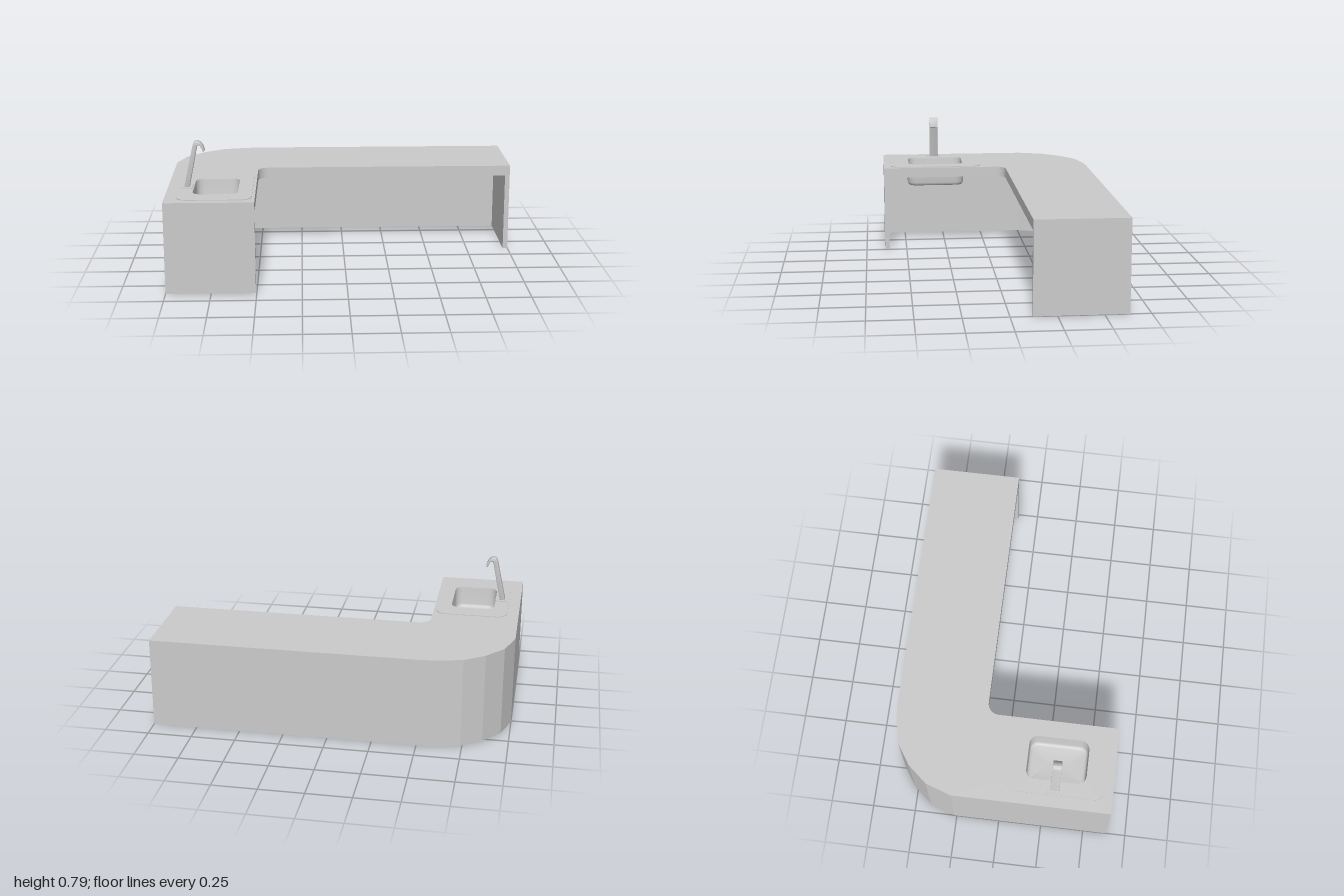
import * as THREE from 'three';
import { toCreasedNormals } from 'three/addons/utils/BufferGeometryUtils.js';

const TOP = 0.518; // worktop surface
const UNDER = 0.49; // underside of the worktop sheet
const RIM = 0.522; // top of the sink rim
const material = new THREE.MeshStandardMaterial({ color: 0xcccccc });

const toVectors = (list) => list.map(([a, b]) => new THREE.Vector2(a, b));

function part(name, geometry) {
  const mesh = new THREE.Mesh(geometry, material);
  mesh.name = name;
  return mesh;
}

// Extrude a floor plan given in (x, z) between two heights.
function slab(name, outline, bottom, top, hole) {
  const shape = new THREE.Shape(outline);
  if (hole) shape.holes.push(new THREE.Path(hole));
  const geometry = new THREE.ExtrudeGeometry(shape, { depth: top - bottom, bevelEnabled: false });
  geometry.rotateX(Math.PI / 2).translate(0, top, 0);
  return part(name, toCreasedNormals(geometry, 0.21));
}

// Rounded rectangle in (x, z) with an equal number of points per corner.
function roundedRect(cx, cz, width, depth, radius, steps = 8) {
  const points = [];
  for (let corner = 0; corner < 4; corner++) {
    const sx = corner === 0 || corner === 3 ? 1 : -1;
    const sz = corner < 2 ? 1 : -1;
    for (let i = 0; i <= steps; i++) {
      const a = (corner + i / steps) * Math.PI / 2;
      points.push(new THREE.Vector2(
        cx + sx * (width / 2 - radius) + radius * Math.cos(a),
        cz + sz * (depth / 2 - radius) + radius * Math.sin(a)));
    }
  }
  return points;
}

// Rounded inside corner of the L plan, from the short wing to the long one.
function insideCorner(radius) {
  const points = [];
  for (let i = 0; i <= 8; i++) {
    const a = Math.PI + (i / 8) * Math.PI / 2;
    points.push([-0.44 + radius * Math.cos(a), -0.055 + radius * Math.sin(a)]);
  }
  return points;
}

// Bowl shell lofted from the inner floor, over the lip, to the outer floor.
function bowlGeometry(cx, cz, width, depth) {
  const profile = [[0.1249, 0.393], [0.024, 0.393], [0.013, 0.396], [0.006, 0.403], [0.003, 0.414],
    [0.002, 0.51], [0, RIM], [-0.006, RIM - 0.002], [-0.006, 0.405], [-0.003, 0.394],
    [0.004, 0.387], [0.015, 0.385], [0.1249, 0.385]];
  const positions = [];
  const indices = [];
  profile.forEach(([inset, y], r) => {
    const ring = roundedRect(cx, cz, width - 2 * inset, depth - 2 * inset, Math.max(0.05 - inset, 0.0001));
    const count = ring.length;
    ring.forEach((p) => positions.push(p.x, y, p.y));
    if (r === 0) return;
    for (let i = 0; i < count; i++) {
      const j = (i + 1) % count;
      const a = (r - 1) * count + i, b = (r - 1) * count + j;
      const c = r * count + i, d = r * count + j;
      indices.push(a, b, c, b, d, c);
    }
  });
  const geometry = new THREE.BufferGeometry();
  geometry.setAttribute('position', new THREE.Float32BufferAttribute(positions, 3));
  geometry.setIndex(indices);
  return toCreasedNormals(geometry, 0.9);
}

export function createModel() {
  const model = new THREE.Group();
  model.name = 'cornerCounter';

  // Faceted outer bend shared by the worktop and the walls
  const bend = [[-0.51, -0.635], [-0.6, -0.628], [-0.74, -0.597], [-0.855, -0.52], [-0.95, -0.41], [-1, -0.262]];
  const innerBend = [[-0.95, -0.252], [-0.904, -0.384], [-0.82, -0.48], [-0.718, -0.55], [-0.593, -0.578], [-0.51, -0.585]];

  // Thin worktop with a cut-out for the sink
  const sinkX = -0.727, sinkZ = 0.308;
  const worktop = [[1, -0.12], [1, -0.635], ...bend, [-1, 0.635], [-0.505, 0.635], ...insideCorner(0.065)];
  model.add(slab('worktop', toVectors(worktop), UNDER, TOP, roundedRect(sinkX, sinkZ, 0.27, 0.36, 0.06)));

  // Back wall, bend and both end panels
  const walls = [[1, -0.12], [1, -0.635], ...bend, [-1, 0.635], [-0.505, 0.635], [-0.505, 0.607],
    [-0.95, 0.607], ...innerBend, [0.972, -0.585], [0.972, -0.12]];
  model.add(slab('walls', toVectors(walls), 0, UNDER));

  // Apron hanging below the inner edge of the worktop
  const apron = [[-0.505, 0.607], ...insideCorner(0.065), [0.972, -0.12], [0.972, -0.147],
    ...insideCorner(0.092).reverse(), [-0.532, 0.607]];
  model.add(slab('apron', toVectors(apron), 0.458, UNDER));

  // Sink: flat rim plate and bowl
  const sink = new THREE.Group();
  sink.name = 'sink';
  sink.add(slab('sinkRim', roundedRect(-0.727, 0.31, 0.41, 0.56, 0.06), TOP, RIM,
    roundedRect(sinkX, sinkZ, 0.251, 0.341, 0.05)));
  sink.add(part('sinkBowl', bowlGeometry(sinkX, sinkZ, 0.25, 0.34)));
  model.add(sink);

  // Tap: small foot and a leaning flat spout that hooks over the bowl
  const tap = new THREE.Group();
  tap.name = 'tap';
  tap.add(slab('tapFoot', roundedRect(-0.89, 0.31, 0.06, 0.085, 0.008), RIM, 0.526));
  const profile = new THREE.Shape();
  profile.moveTo(-0.877, 0.524);
  profile.lineTo(-0.832, 0.745);
  profile.bezierCurveTo(-0.826, 0.775, -0.81, 0.77, -0.797, 0.728);
  profile.lineTo(-0.788, 0.731);
  profile.bezierCurveTo(-0.797, 0.785, -0.842, 0.805, -0.853, 0.765);
  profile.lineTo(-0.907, 0.524);
  const spout = new THREE.ExtrudeGeometry(profile, {
    depth: 0.042, curveSegments: 12, bevelThickness: 0.004, bevelSize: 0.003, bevelOffset: -0.003, bevelSegments: 3,
  });
  spout.translate(0, 0, 0.289);
  tap.add(part('tapSpout', toCreasedNormals(spout, 0.7)));
  model.add(tap);

  return model;
}
